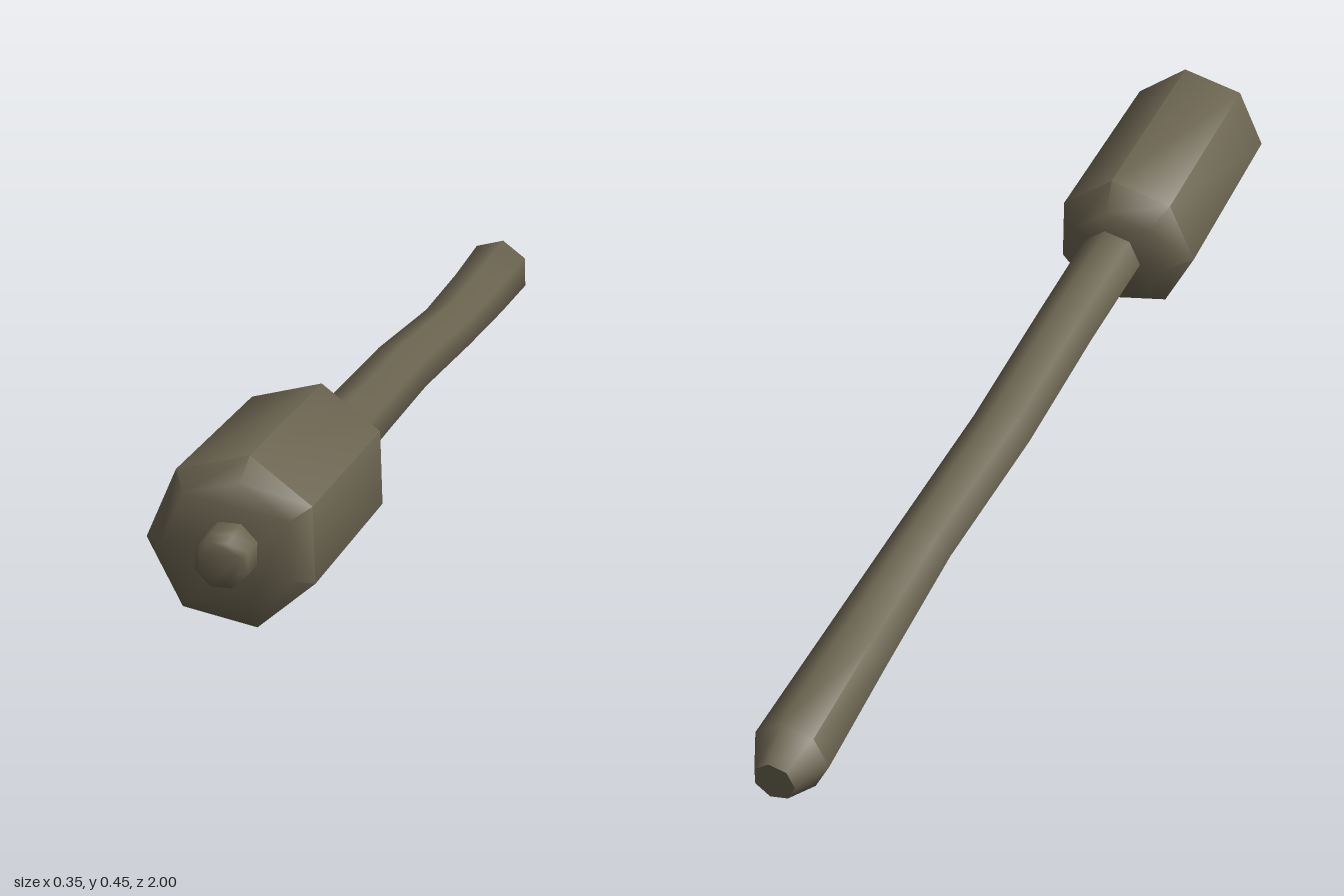
import * as THREE from 'three';
import { toCreasedNormals } from 'three/addons/utils/BufferGeometryUtils.js';

// Slope of the tilted long axis (x and y per unit z)
const SLOPE_X = -0.075, SLOPE_Y = 0.13;

// Closed loft through rings [z, x, y, radius], listed from front to back;
// every ring stands square to the tilted axis
function loft(rings, sides, phase, crease) {
  const pos = [], index = [];
  for (const [z, x, y, r] of rings) {
    for (let j = 0; j < sides; j++) {
      const a = phase + (j / sides) * Math.PI * 2;
      const dx = r * Math.cos(a), dy = r * Math.sin(a);
      pos.push(x + dx, y + dy, z - dx * SLOPE_X - dy * SLOPE_Y);
    }
  }
  for (let i = 0; i < rings.length - 1; i++) {
    for (let j = 0; j < sides; j++) {
      const k = (j + 1) % sides;
      const a = i * sides + j, b = i * sides + k, c = a + sides, d = b + sides;
      index.push(a, c, b, b, c, d);
    }
  }
  // End caps
  const last = (rings.length - 1) * sides;
  for (let j = 1; j < sides - 1; j++) {
    index.push(0, j, j + 1, last, last + j + 1, last + j);
  }
  const geo = new THREE.BufferGeometry();
  geo.setAttribute('position', new THREE.Float32BufferAttribute(pos, 3));
  geo.setIndex(index);
  return toCreasedNormals(geo, crease);
}

export function createModel() {
  const group = new THREE.Group();
  const drab = new THREE.MeshStandardMaterial({ color: 0x6b6450 });
  drab.name = 'drab olive';

  const add = (name, geo) => {
    const mesh = new THREE.Mesh(geo, drab);
    mesh.name = name;
    group.add(mesh);
  };
  const phase = THREE.MathUtils.degToRad(29);

  // Seven-sided drum head with chamfered ends
  add('head', loft([
    [0.945, -0.041, 0.328, 0.105],
    [0.91, -0.039, 0.324, 0.137],
    [0.5, -0.009, 0.268, 0.139],
    [0.45, -0.006, 0.262, 0.098],
  ], 7, phase, 1.0));

  // Small plug on the front of the head
  add('frontPlug', loft([
    [0.996, -0.042, 0.328, 0.034],
    [0.985, -0.042, 0.327, 0.044],
    [0.955, -0.039, 0.326, 0.046],
    [0.93, -0.037, 0.325, 0.046],
  ], 8, Math.PI / 8, 1.0));

  // Slightly bent handle, swelling toward a blunt tip
  add('handle', loft([
    [0.48, 0.003, 0.263, 0.06],
    [0.2, 0.024, 0.227, 0.057],
    [-0.1, 0.044, 0.185, 0.056],
    [-0.42, 0.08, 0.138, 0.054],
    [-0.7, 0.1, 0.1, 0.06],
    [-0.935, 0.114, 0.071, 0.066],
    [-0.994, 0.119, 0.062, 0.036],
  ], 7, phase, 1.0));

  return group;
}
